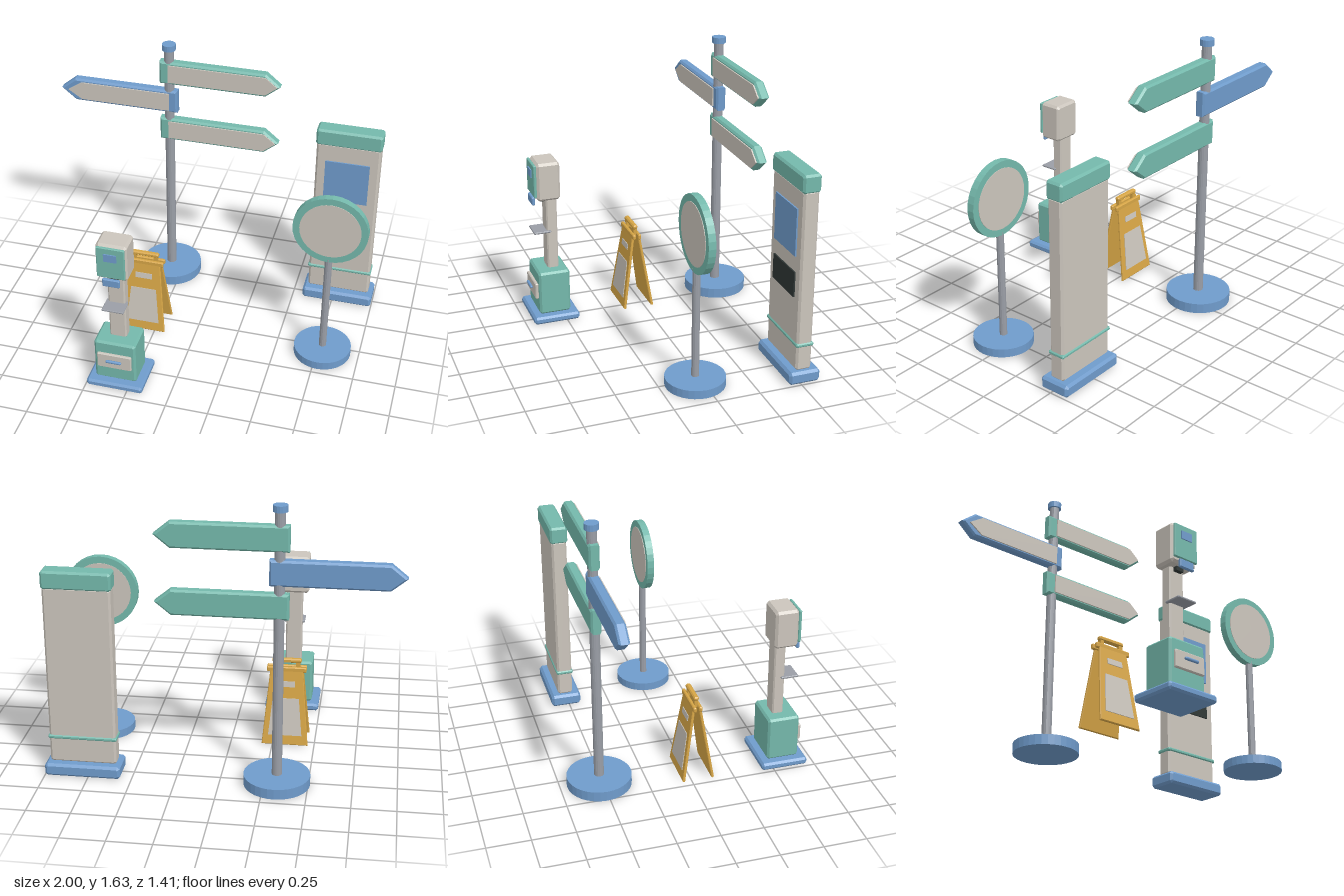
import * as THREE from 'three';

const mat = (name, color) => {
  const m = new THREE.MeshStandardMaterial({ color });
  m.name = name;
  return m;
};

export function createModel() {
  const blue = mat('blue', 0x6f9bcb), teal = mat('teal', 0x74b8ab), cream = mat('cream', 0xcbc5bc);
  const gold = mat('gold', 0xd6a546), dark = mat('charcoal', 0x2e3634), steel = mat('steel', 0x9a9ea6);
  const root = new THREE.Group();

  const group = (name, x, z) => {
    const g = new THREE.Group();
    g.name = name;
    g.position.set(x, 0, z);
    root.add(g);
    return g;
  };
  const add = (parent, name, geo, material, x = 0, y = 0, z = 0) => {
    const m = new THREE.Mesh(geo, material);
    m.name = name;
    m.position.set(x, y, z);
    parent.add(m);
    return m;
  };
  // Outline extruded along z, centred, with chamfered front and back edges
  const slab = (points, depth, b) => {
    const shape = new THREE.Shape(points.map(p => new THREE.Vector2(p[0], p[1])));
    const geo = new THREE.ExtrudeGeometry(shape, {
      depth: depth - 2 * b, bevelEnabled: b > 0, bevelThickness: b, bevelSize: b, bevelOffset: -b, bevelSegments: 1,
    });
    return geo.translate(0, 0, b - depth / 2);
  };
  // Box with all edges chamfered
  const block = (w, h, d, b = 0.01) => {
    const x = w / 2, y = h / 2;
    return slab([[b - x, -y], [x - b, -y], [x, b - y], [x, y - b], [x - b, y], [b - x, y], [-x, y - b], [-x, b - y]], d, b);
  };
  // Faceted cylinder
  const drum = (r, h, sides = 32) => {
    const geo = new THREE.CylinderGeometry(r, r, h, sides).toNonIndexed();
    geo.computeVertexNormals();
    return geo;
  };
  const box = (w, h, d) => new THREE.BoxGeometry(w, h, d);

  // Direction signpost
  const post = group('signpost', -0.323, -0.52);
  add(post, 'postBase', drum(0.189, 0.06), blue, 0, 0.03);
  add(post, 'postPole', drum(0.029, 1.56, 16), steel, 0, 0.83);
  add(post, 'postCap', drum(0.041, 0.036, 16), blue, 0, 1.617);
  const arrow = (x0, shoulder, tip, h) => {
    const pts = [[x0, -h], [shoulder, -h], [tip, 0], [shoulder, h], [x0, h]];
    return tip > x0 ? pts : pts.reverse();
  };
  const sign = (y, dir, material, plate) => {
    const g = new THREE.Group();
    g.name = 'directionSign';
    g.position.y = y;
    post.add(g);
    add(g, 'signBoard', slab(arrow(-0.054 * dir, 0.588 * dir, 0.677 * dir, 0.073), 0.06, 0.011), material);
    add(g, 'signFace', slab(arrow(...plate, 0.056), 0.009, 0), cream, 0, 0, 0.0335);
  };
  sign(1.453, 1, teal, [0, 0.59, 0.66]);
  sign(1.262, -1, blue, [0.004, -0.545, -0.63]);
  sign(1.072, 1, teal, [0, 0.59, 0.66]);

  // Information totem
  const totem = group('infoTotem', 0.78, -0.52);
  add(totem, 'totemBase', block(0.434, 0.075, 0.184, 0.014), blue, 0, 0.0405);
  add(totem, 'totemBody', block(0.382, 1.06, 0.092, 0.012), cream, 0, 0.605);
  add(totem, 'totemCap', block(0.392, 0.106, 0.106, 0.012), teal, 0, 1.174);
  add(totem, 'totemBand', block(0.394, 0.022, 0.104, 0.006), teal, 0, 0.232);
  add(totem, 'screen', box(0.265, 0.275, 0.009), blue, 0, 0.882, 0.05);
  add(totem, 'darkPanel', box(0.265, 0.147, 0.009), dark, 0, 0.578, 0.05);

  // Round sign on a stand
  const round = group('roundSign', 0.78, 0.045);
  add(round, 'roundBase', drum(0.171, 0.05), blue, 0, 0.025);
  add(round, 'roundPole', drum(0.022, 0.66, 12), steel, 0, 0.37);
  add(round, 'roundRim', drum(0.217, 0.042), teal, 0, 0.9).rotation.x = Math.PI / 2;
  for (const s of [1, -1])
    add(round, 'roundFace', drum(0.177, 0.006), cream, 0, 0.9, s * 0.021).rotation.x = Math.PI / 2;

  // Ticket machine
  const meter = group('ticketMachine', -0.324, 0.565);
  add(meter, 'meterBase', block(0.335, 0.045, 0.28, 0.012), blue, 0, 0.0265);
  add(meter, 'meterCabinet', block(0.246, 0.27, 0.19, 0.012), teal, 0, 0.183);
  add(meter, 'drawer', block(0.203, 0.1, 0.02, 0.005), cream, 0, 0.195, 0.105);
  const grip = new THREE.CapsuleGeometry(0.009, 0.078, 4, 10).rotateZ(Math.PI / 2);
  add(meter, 'drawerHandle', grip, blue, 0, 0.203, 0.125);
  add(meter, 'meterColumn', block(0.1, 0.47, 0.066, 0.008), cream, 0, 0.545, -0.014);
  add(meter, 'shelf', block(0.128, 0.012, 0.105, 0.003), steel, 0, 0.556, 0.047);
  add(meter, 'meterHead', block(0.178, 0.233, 0.14, 0.014), cream, 0, 0.882, 0.008);
  add(meter, 'meterFace', block(0.162, 0.2, 0.017, 0.004), teal, 0, 0.889, 0.087);
  add(meter, 'display', box(0.074, 0.048, 0.008), blue, 0, 0.928, 0.098);
  add(meter, 'ticketTray', block(0.1, 0.05, 0.02, 0.005), blue, 0, 0.757, 0.093);
  add(meter, 'trayBracket', box(0.05, 0.03, 0.026), dark, 0, 0.757, 0.032);

  // Folding floor sign
  const frame = group('floorSign', -0.324, 0.04);
  const taper = (y0, y1, w0, w1) => [[-w0, y0], [w0, y0], [w1, y1], [-w1, y1]];
  for (const turn of [0, Math.PI]) {
    const half = new THREE.Group();
    half.name = 'floorSignHalf';
    half.rotation.y = turn;
    frame.add(half);
    const leaf = new THREE.Group();
    leaf.name = 'leaf';
    leaf.position.set(0, 0.002, 0.088);
    leaf.rotation.x = -0.152;
    half.add(leaf);
    add(leaf, 'leafPanel', slab(taper(0, 0.475, 0.138, 0.096), 0.016, 0.004), gold);
    add(leaf, 'largePlate', slab(taper(0.06, 0.29, 0.1, 0.078), 0.005, 0), cream, 0, 0, 0.0095);
    add(leaf, 'smallPlate', slab(taper(0.36, 0.395, 0.052, 0.052), 0.005, 0), cream, 0, 0, 0.0095);
    add(half, 'hingeBar', block(0.236, 0.032, 0.02, 0.005), gold, 0, 0.462, 0.017);
  }
  add(frame, 'carryHandle', block(0.172, 0.026, 0.03, 0.007), gold, 0, 0.515);
  for (const s of [1, -1])
    add(frame, 'handlePost', box(0.024, 0.05, 0.022), gold, s * 0.066, 0.485);

  return root;
}
